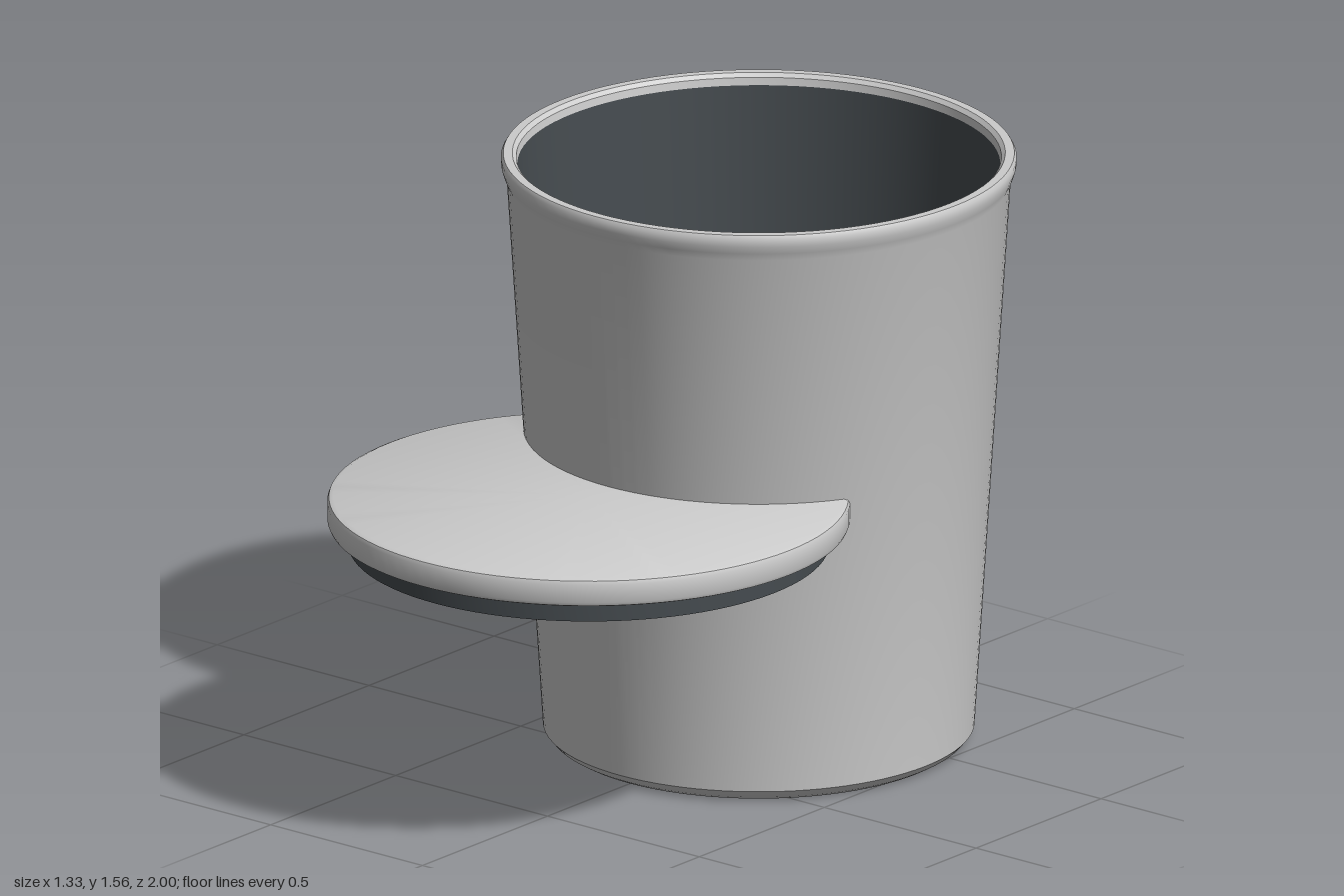
import * as THREE from 'three';
import { toCreasedNormals } from 'three/addons/utils/BufferGeometryUtils.js';

const grey = new THREE.MeshStandardMaterial({ color: 0xcccccc });
const dark = new THREE.MeshStandardMaterial({ color: 0x454b4f });

// Revolves a [radius, height] profile, keeping hard edges sharp
function turned(name, profile, material) {
  const points = profile.map(([r, y]) => new THREE.Vector2(r, y));
  const geometry = toCreasedNormals(new THREE.LatheGeometry(points, 96), 0.6);
  const mesh = new THREE.Mesh(geometry, material);
  mesh.name = name;
  return mesh;
}

export function createModel() {
  const model = new THREE.Group();
  model.name = 'canisterWithLid';

  // Tapered canister with a chamfered foot and flared lip
  const canister = new THREE.Group();
  canister.name = 'canister';
  canister.position.z = -0.345;
  canister.add(
    turned('body', [
      [0, 0], [0.515, 0], [0.532, 0.01], [0.549, 0.03], [0.641, 1.49],
      [0.649, 1.51], [0.655, 1.53], [0.656, 1.55], [0.65, 1.56],
      [0.627, 1.56], [0.617, 1.55], [0.614, 1.53],
    ], grey),
    turned('liner', [[0.614, 1.53], [0.511, 0.06], [0, 0.06]], dark),
  );
  model.add(canister);

  // Round lid with softened edges, cutting into the canister wall
  const lid = new THREE.Group();
  lid.name = 'lid';
  lid.position.set(0, 0.69, 0.335);
  lid.add(
    turned('lidDisc', [
      [0, 0.055], [0.652, 0.055], [0.661, 0.059], [0.665, 0.068],
      [0.665, 0.115], [0.661, 0.125], [0.65, 0.13], [0, 0.13],
    ], grey),
    // Hollow sealing ring below the disc
    turned('sealRing', [
      [0.575, 0.056], [0.575, 0], [0.612, 0], [0.612, 0.056],
    ], dark),
  );

  // Small tab at the back edge of the lid
  const tab = new THREE.Mesh(new THREE.BoxGeometry(0.34, 0.05, 0.06), grey);
  tab.name = 'lidTab';
  tab.position.set(0, 0.09, -0.645);
  lid.add(tab);
  model.add(lid);

  return model;
}
